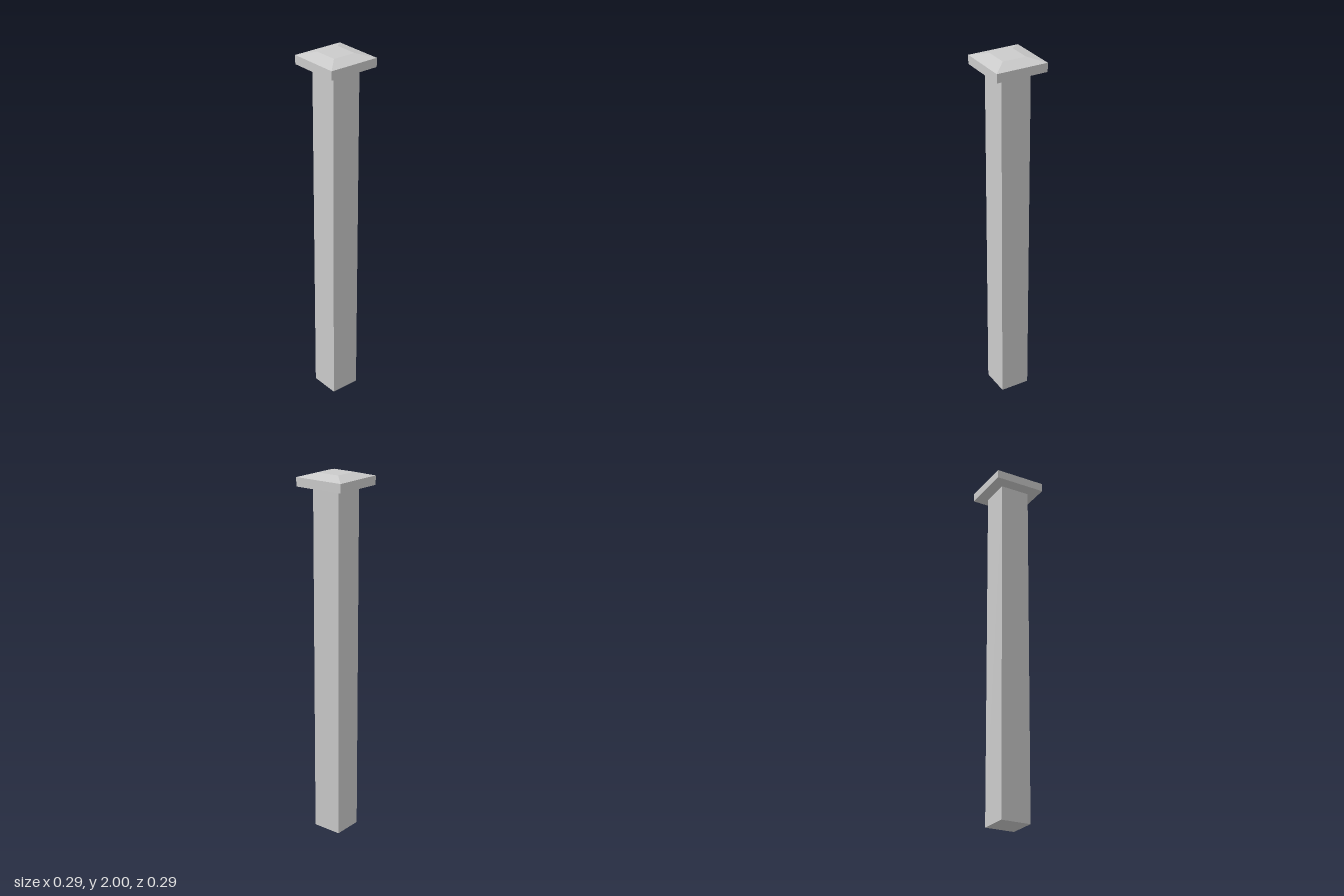
import * as THREE from 'three';

const material = new THREE.MeshStandardMaterial({ color: 0xcccccc, flatShading: true });

// Square solid from a profile of [half width, height], listed bottom to top
function squareSolid(name, profile) {
  const points = profile.map(([half, y]) => new THREE.Vector2(half * Math.SQRT2, y));
  const geometry = new THREE.LatheGeometry(points, 4, Math.PI / 4);
  const mesh = new THREE.Mesh(geometry, material);
  mesh.name = name;
  return mesh;
}

export function createModel() {
  const group = new THREE.Group();
  group.name = 'fencePost';

  // Plain square shaft
  const height = 1.93;
  const shaft = new THREE.Mesh(new THREE.BoxGeometry(0.166, height, 0.166), material);
  shaft.name = 'shaft';
  shaft.position.y = height / 2;
  group.add(shaft);

  // Overhanging cap with a slightly sloped underside and a bevelled, flat top
  group.add(squareSolid('cap', [
    [0, 1.925], [0.1, 1.925], [0.143, 1.931],
    [0.143, 1.979], [0.065, 2], [0, 2],
  ]));

  return group;
}
